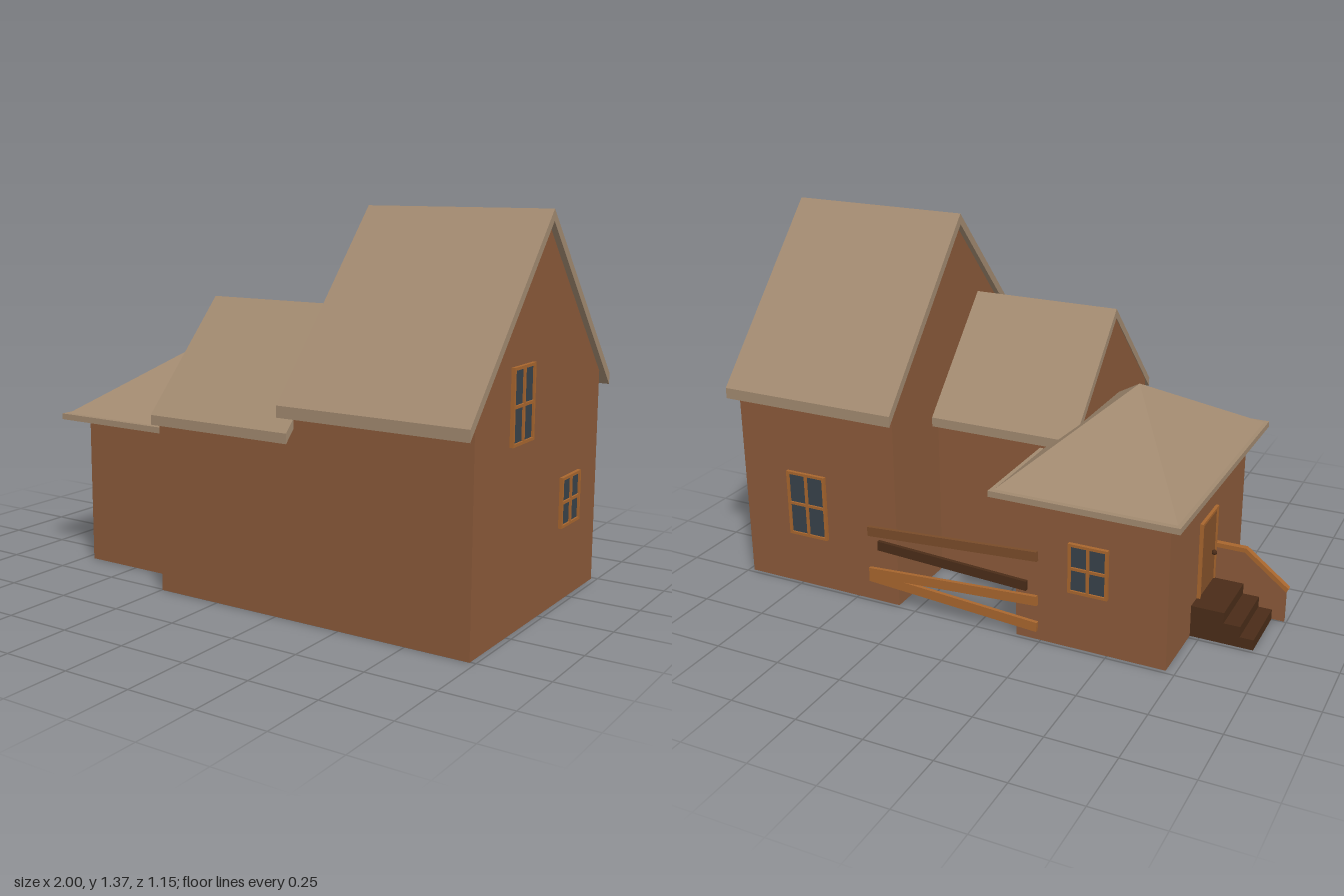
import * as THREE from 'three';

const mat = (color, side = THREE.FrontSide) =>
  new THREE.MeshStandardMaterial({ color, side, flatShading: true });

export function createModel() {
  const house = new THREE.Group();
  house.name = 'house';
  const wallMat = mat(0x8b5a3a, THREE.DoubleSide);
  const roofMat = mat(0xa28a70);
  const trimMat = mat(0xa8662e);
  const glassMat = mat(0x38424a);
  const stepMat = mat(0x4a2c18);
  const doorMat = mat(0x85522a);
  const plankMat = mat(0x7a4c2a);

  function add(name, geometry, material, parent = house) {
    const mesh = new THREE.Mesh(geometry, material);
    mesh.name = name;
    parent.add(mesh);
    return mesh;
  }

  // Box given by its limits on each axis
  function block(name, [x0, x1], [y0, y1], [z0, z1], material, parent) {
    const mesh = add(name, new THREE.BoxGeometry(x1 - x0, y1 - y0, z1 - z0), material, parent);
    mesh.position.set((x0 + x1) / 2, (y0 + y1) / 2, (z0 + z1) / 2);
    return mesh;
  }

  // Prism with a [z, y] outline, running from x0 to x1
  function prism(points, x0, x1) {
    const shape = new THREE.Shape(points.map(([z, y]) => new THREE.Vector2(z, y)));
    return new THREE.ExtrudeGeometry(shape, { depth: x1 - x0, bevelEnabled: false })
      .rotateY(-Math.PI / 2).translate(x1, 0, 0);
  }

  // Hollow shell: drop the triangles lying on the ground
  function openBottom(geometry) {
    const p = geometry.attributes.position.array;
    const kept = [];
    for (let i = 0; i < p.length; i += 9) {
      if (Math.max(p[i + 1], p[i + 4], p[i + 7]) > 1e-4) kept.push(...p.slice(i, i + 9));
    }
    const shell = new THREE.BufferGeometry();
    shell.setAttribute('position', new THREE.Float32BufferAttribute(kept, 3));
    shell.computeVertexNormals();
    return shell;
  }

  // Gabled block: walls under a two-slope roof slab with plumb-cut eaves
  function gabledBlock(name, o) {
    const under = (z) => o.ridge - o.thick - Math.abs(z - o.ridgeZ) * o.slope;
    const [b, f] = o.wallZ, [eb, ef] = o.eaveZ, gap = 0.002;
    add(name + 'Walls', openBottom(prism([
      [b, 0], [f, 0], [f, under(f) - gap], [o.ridgeZ, under(o.ridgeZ) - gap], [b, under(b) - gap],
    ], ...o.wallX)), wallMat);
    add(name + 'Roof', prism([
      [eb, under(eb)], [o.ridgeZ, under(o.ridgeZ)], [ef, under(ef)],
      [ef, under(ef) + o.thick], [o.ridgeZ, o.ridge], [eb, under(eb) + o.thick],
    ], ...o.roofX), roofMat);
  }

  gabledBlock('main', {
    ridge: 1.37, ridgeZ: 0.01, thick: 0.04, slope: 1.108,
    wallZ: [-0.485, 0.505], eaveZ: [-0.535, 0.575], wallX: [0.325, 0.98], roofX: [0.305, 1],
  });
  gabledBlock('middle', {
    ridge: 1.035, ridgeZ: 0.173, thick: 0.035, slope: 1.03,
    wallZ: [-0.16, 0.505], eaveZ: [-0.205, 0.548], wallX: [-0.248, 0.325], roofX: [-0.25, 0.325],
  });

  // Side wing with a hip roof
  add('wingWalls', openBottom(prism(
    [[-0.485, 0], [0.362, 0], [0.362, 0.565], [-0.485, 0.565]], -0.715, -0.155)), wallMat);
  block('wingEaves', [-0.775, -0.095], [0.56, 0.582], [-0.575, 0.45], roofMat);
  const hip = new THREE.ConeGeometry(Math.SQRT1_2, 1, 4).rotateY(Math.PI / 4)
    .scale(0.65, 0.267, 0.985);
  add('wingRoof', hip, roofMat).position.set(-0.435, 0.7155, -0.0625);

  // Four-pane window facing +z in its own frame
  function windowUnit(name, w, h, position, angle) {
    const group = new THREE.Group();
    group.name = name;
    const rect = (Type, x0, x1, y0, y1) => new Type([
      new THREE.Vector2(x0, y0), new THREE.Vector2(x1, y0),
      new THREE.Vector2(x1, y1), new THREE.Vector2(x0, y1)]);
    const frame = rect(THREE.Shape, -w / 2, w / 2, -h / 2, h / 2);
    const t = 0.01, bar = 0.005;
    for (const [x0, x1] of [[t - w / 2, -bar], [bar, w / 2 - t]]) {
      for (const [y0, y1] of [[t - h / 2, -bar], [bar, h / 2 - t]]) {
        frame.holes.push(rect(THREE.Path, x0, x1, y0, y1));
      }
    }
    add('windowFrame', new THREE.ExtrudeGeometry(frame, { depth: 0.014, bevelEnabled: false }),
      trimMat, group);
    block('windowGlass', [0.005 - w / 2, w / 2 - 0.005], [0.005 - h / 2, h / 2 - 0.005],
      [0.001, 0.007], glassMat, group);
    group.position.set(...position);
    group.rotation.y = angle;
    house.add(group);
  }
  windowUnit('upperGableWindow', 0.16, 0.255, [0.979, 0.758, 0.18], Math.PI / 2);
  windowUnit('lowerGableWindow', 0.16, 0.18, [0.979, 0.36, -0.235], Math.PI / 2);
  windowUnit('mainBackWindow', 0.165, 0.255, [0.703, 0.333, -0.484], Math.PI);
  windowUnit('wingBackWindow', 0.145, 0.185, [-0.435, 0.322, -0.5], Math.PI);

  // Door with its frame and knob
  block('door', [-0.722, -0.714], [0.12, 0.4], [-0.165, -0.005], doorMat);
  block('doorFrameTop', [-0.727, -0.714], [0.4, 0.41], [-0.175, 0.005], trimMat);
  for (const z of [-0.175, -0.005]) {
    block('doorFrameSide', [-0.727, -0.714], [0.12, 0.4], [z, z + 0.01], trimMat);
  }
  add('doorKnob', new THREE.SphereGeometry(0.01, 8, 6), stepMat).position.set(-0.73, 0.24, -0.035);

  // Steps up to the door
  [-0.835, -0.895, -0.945].forEach((x, i) => {
    block('step', [x, i ? x + (i === 1 ? 0.06 : 0.05) : -0.715],
      [0, 0.12 - i * 0.04], [-0.235, 0], stepMat);
  });

  // Solid stair side panel with a sloped cap rail
  const sideShape = (points) => new THREE.Shape(points.map((p) => new THREE.Vector2(...p)));
  const panel = sideShape([[-0.99, 0], [-0.715, 0], [-0.715, 0.247], [-0.832, 0.247], [-0.99, 0.122]]);
  add('stairPanel', new THREE.ExtrudeGeometry(panel, { depth: 0.014, bevelEnabled: false }), wallMat)
    .position.z = 0.003;
  const rail = sideShape([[-0.715, 0.245], [-0.715, 0.262], [-0.837, 0.262], [-1, 0.135],
    [-0.992, 0.12], [-0.832, 0.245]]);
  add('stairRail', new THREE.ExtrudeGeometry(rail, { depth: 0.022, bevelEnabled: false }), trimMat)
    .position.z = -0.001;

  // Crooked planks across the gap at the back: right x, right y, left x, left y
  for (const [x0, y0, x1, y1, material] of [
    [-0.24, 0.33, 0.44, 0.285, plankMat],
    [-0.2, 0.208, 0.4, 0.235, stepMat],
    [-0.24, 0.158, 0.44, 0.118, trimMat],
    [-0.24, 0.055, 0.44, 0.1, trimMat],
  ]) {
    const plank = add('plank', new THREE.BoxGeometry(Math.hypot(x1 - x0, y1 - y0), 0.036, 0.014), material);
    plank.position.set((x0 + x1) / 2, (y0 + y1) / 2, -0.493);
    plank.rotation.z = Math.atan2(y1 - y0, x1 - x0);
  }

  return house;
}
